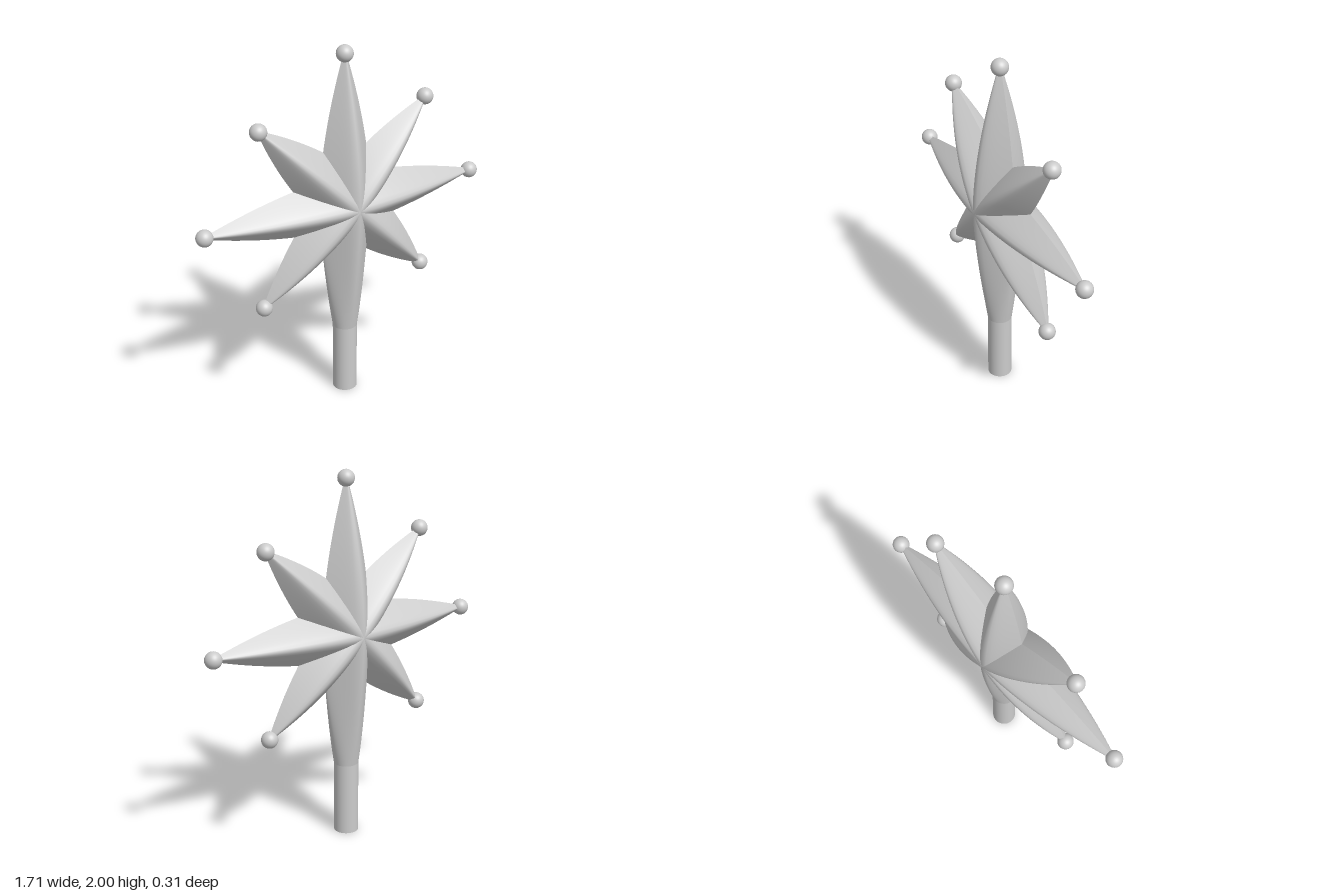
import * as THREE from 'three';

const CENTRE_Y = 1.145;
const STEM_R = 0.067;

// Half of an arm (the +z side), lofted along +y from the star's centre.
// Its section is a diamond with a softened ridge; round = true eases it into a circle.
function armSheet(length, tipRadius, power, round) {
  const rows = 28, cols = 24, k = 0.22;
  const pos = [], index = [];
  for (let i = 0; i <= rows; i++) {
    const t = i / rows;
    const r = tipRadius + (0.157 - tipRadius) * (1 - Math.pow(t, power));
    const blend = round ? t * t : 0;
    for (let j = 0; j <= cols; j++) {
      const a = (j / cols) * Math.PI, u = Math.cos(a);
      const diamond = (Math.hypot(1, k) - Math.hypot(u, k)) / (Math.hypot(1, k) - k);
      pos.push(r * u, t * length, r * THREE.MathUtils.lerp(diamond, Math.sin(a), blend));
      if (i < rows && j < cols) {
        const p = i * (cols + 1) + j, q = p + cols + 1;
        index.push(p, q, p + 1, p + 1, q, q + 1);
      }
    }
  }
  const geo = new THREE.BufferGeometry();
  geo.setAttribute('position', new THREE.Float32BufferAttribute(pos, 3));
  geo.setIndex(index);
  geo.computeVertexNormals();
  return geo;
}

export function createModel() {
  const model = new THREE.Group();
  model.name = 'starTopper';
  const material = new THREE.MeshStandardMaterial({ color: 0xcccccc });

  const longArm = armSheet(0.8, 0.012, 1.75, false);
  const shortArm = armSheet(0.69, 0.012, 1.95, false);
  const stemArm = armSheet(0.745, STEM_R, 1.5, true);
  const ball = new THREE.SphereGeometry(0.045, 32, 20);

  // Eight arms around the centre; the lowest one flows into the stem
  for (let i = 0; i < 8; i++) {
    const isStem = i === 4, isShort = i % 2 === 1;
    const arm = new THREE.Group();
    arm.name = isStem ? 'stemArm' : isShort ? 'shortArm' : 'longArm';
    arm.position.y = CENTRE_Y;
    arm.rotation.z = (i * Math.PI) / 4;

    const geo = isStem ? stemArm : isShort ? shortArm : longArm;
    for (const side of ['front', 'back']) {
      const half = new THREE.Mesh(geo, material);
      half.name = side + 'Faces';
      if (side === 'back') half.rotation.y = Math.PI;
      arm.add(half);
    }

    // Ball on the tip
    if (!isStem) {
      const tip = new THREE.Mesh(ball, material);
      tip.name = 'tipBall';
      tip.position.y = isShort ? 0.7 : 0.812;
      arm.add(tip);
    }
    model.add(arm);
  }

  // Round stem
  const stem = new THREE.Mesh(new THREE.CylinderGeometry(STEM_R, STEM_R, 0.4, 48), material);
  stem.name = 'stem';
  stem.position.y = 0.2;
  model.add(stem);

  return model;
}
